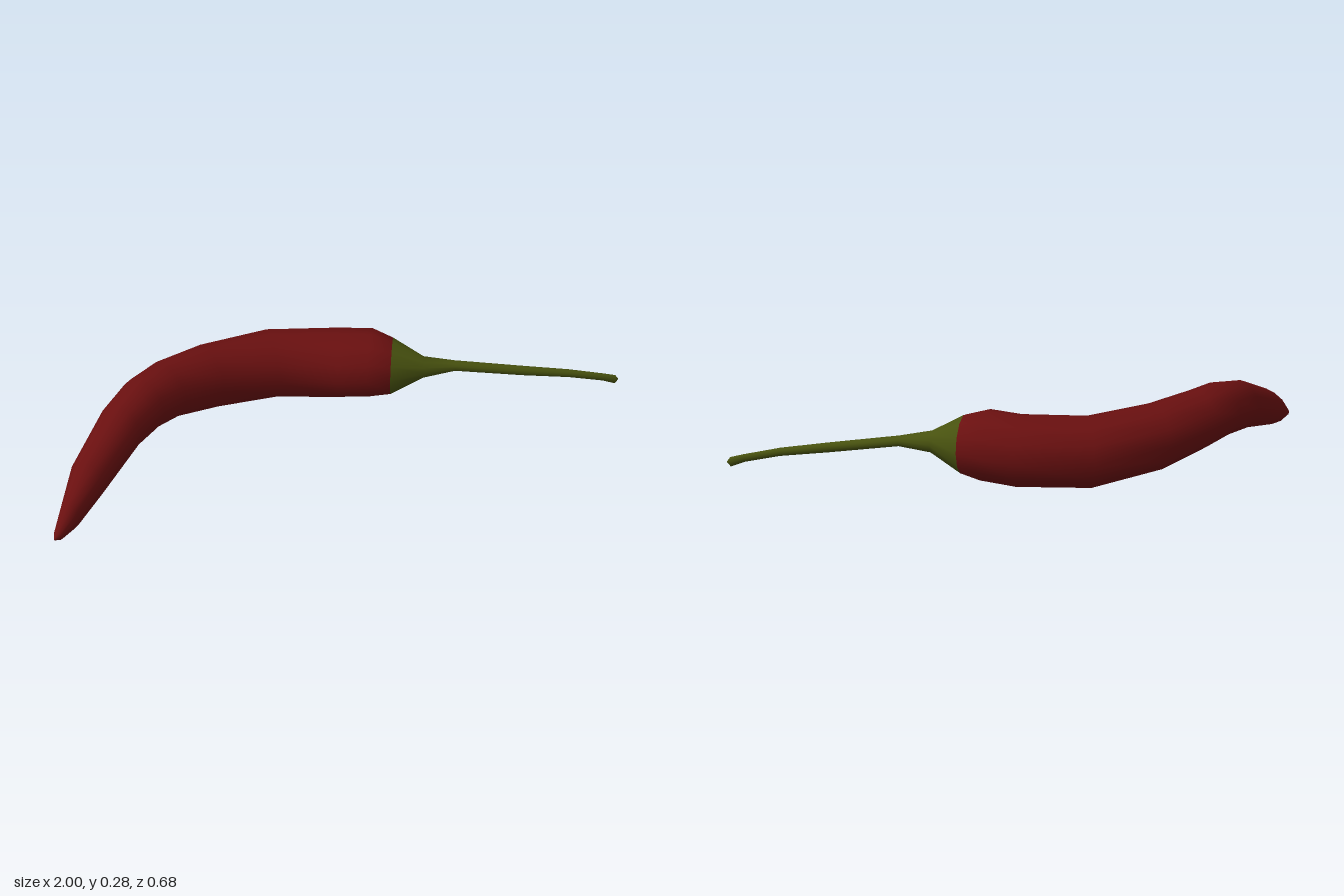
import * as THREE from 'three';

const SIDES = 12;

// Cross-sections from tip to stem end: x, y, z, half width, half height
const RINGS = [
  [-1.0, 0.022, 0.338, 0.001, 0.001],
  [-0.985, 0.023, 0.322, 0.016, 0.016],
  [-0.94, 0.051, 0.275, 0.034, 0.047],
  [-0.865, 0.102, 0.178, 0.062, 0.068],
  [-0.73, 0.172, 0.035, 0.076, 0.087],
  [-0.64, 0.191, -0.045, 0.086, 0.094],
  [-0.55, 0.184, -0.11, 0.094, 0.099],
  [-0.395, 0.158, -0.18, 0.104, 0.111],
  [-0.17, 0.134, -0.225, 0.117, 0.117],
  [0.05, 0.129, -0.173, 0.125, 0.117],
  [0.155, 0.137, -0.13, 0.12, 0.117],
  [0.222, 0.131, -0.098, 0.092, 0.099], // rim of the calyx
  [0.325, 0.13, -0.063, 0.038, 0.036],
  [0.43, 0.129, -0.042, 0.021, 0.017],
  [0.66, 0.097, 0.009, 0.015, 0.017],
  [0.82, 0.076, 0.042, 0.013, 0.014],
  [0.94, 0.051, 0.064, 0.009, 0.014],
  [0.985, 0.037, 0.071, 0.008, 0.017],
  [0.997, 0.037, 0.073, 0.001, 0.001],
];
const CALYX = 11;
const STEM = 13;

// One smooth skin over all the rings, so the parts meet without a seam
function buildSkin() {
  const positions = [];
  RINGS.forEach(([x, y, z, w, h], i) => {
    const a = RINGS[Math.max(i - 1, 0)];
    const b = RINGS[Math.min(i + 1, RINGS.length - 1)];
    const dx = b[0] - a[0], dz = b[2] - a[2], len = Math.hypot(dx, dz);
    for (let j = 0; j < SIDES; j++) {
      const t = (j / SIDES) * Math.PI * 2;
      const side = Math.cos(t) * w;
      positions.push(x - (dz / len) * side, y + Math.sin(t) * h, z + (dx / len) * side);
    }
  });
  const skin = new THREE.BufferGeometry();
  skin.setAttribute('position', new THREE.Float32BufferAttribute(positions, 3));
  skin.setIndex(stripIndex(0, RINGS.length - 1));
  skin.computeVertexNormals();
  return skin;
}

// Faces between two rings of the skin
function stripIndex(from, to) {
  const index = [];
  for (let i = from; i < to; i++) {
    for (let j = 0; j < SIDES; j++) {
      const k = (j + 1) % SIDES;
      const a = i * SIDES + j, b = a + SIDES;
      const c = i * SIDES + k, d = c + SIDES;
      index.push(a, b, c, b, d, c);
    }
  }
  return index;
}

export function createModel() {
  const red = new THREE.MeshStandardMaterial({ color: 0x6a1010 });
  red.name = 'pepperRed';
  const green = new THREE.MeshStandardMaterial({ color: 0x48520f });
  green.name = 'stemGreen';

  const model = new THREE.Group();
  model.name = 'chiliPepper';
  const skin = buildSkin();
  const addPart = (name, from, to, material) => {
    const part = skin.clone();
    part.setIndex(stripIndex(from, to));
    const mesh = new THREE.Mesh(part.toNonIndexed(), material);
    mesh.name = name;
    model.add(mesh);
  };

  addPart('fruit', 0, CALYX, red);
  addPart('calyx', CALYX, STEM, green);
  addPart('stem', STEM, RINGS.length - 1, green);
  return model;
}
